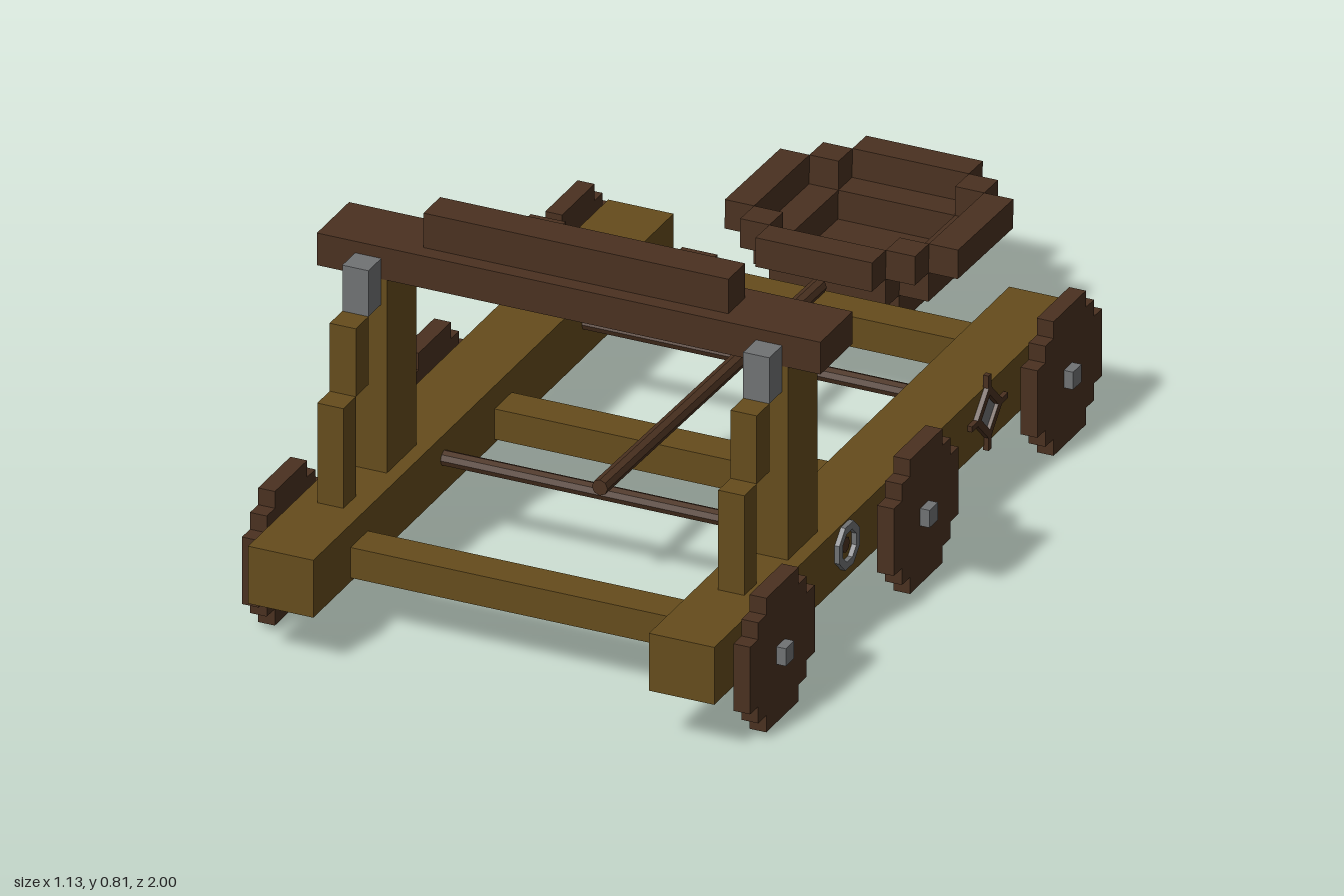
import * as THREE from 'three';

const mat = (color) => new THREE.MeshStandardMaterial({ color, flatShading: true });

export function createModel() {
  const model = new THREE.Group();
  const wood = mat(0x654c1c), dark = mat(0x4a3120), metal = mat(0x707274);

  const add = (name, geo, material, parent = model) => {
    const mesh = new THREE.Mesh(geo, material);
    mesh.name = name;
    parent.add(mesh);
    return mesh;
  };
  // Box given by its min and max on each axis
  const box = (name, material, [x0, x1], [y0, y1], [z0, z1]) => {
    const geo = new THREE.BoxGeometry(x1 - x0, y1 - y0, z1 - z0);
    return add(name, geo.translate((x0 + x1) / 2, (y0 + y1) / 2, (z0 + z1) / 2), material);
  };
  // The same box on both sides of the model
  const pair = (name, material, [x0, x1], y, z) => {
    box(name + 'Left', material, [x0, x1], y, z);
    box(name + 'Right', material, [-x1, -x0], y, z);
  };
  // Closed outline from one quadrant repeated four times around
  const outline = (quadrant, u) => {
    const pts = [];
    for (let q = 0; q < 4; q++) {
      for (const [a, b] of quadrant) {
        const p = [[a, b], [-b, a], [-a, -b], [b, -a]][q];
        pts.push(new THREE.Vector2(p[0] * u, p[1] * u));
      }
    }
    return pts;
  };
  const plate = (outer, inner, depth) => {
    const shape = new THREE.Shape(outer);
    if (inner) shape.holes.push(new THREE.Path(inner));
    return new THREE.ExtrudeGeometry(shape, { depth, bevelEnabled: false });
  };
  const polygon = (n, r, turn) => Array.from({ length: n }, (_, i) => {
    const a = turn + (i / n) * Math.PI * 2;
    return new THREE.Vector2(Math.cos(a) * r, Math.sin(a) * r);
  });

  const big = [[4, 2], [3, 2], [3, 3], [2, 3], [2, 4]];
  const medium = [[3, 2], [2, 2], [2, 3]];
  const small = [[2, 2]];

  // Frame: two rails and three cross beams
  pair('rail', wood, [0.36, 0.5], [0.115, 0.24], [-0.626, 1]);
  for (const z of [-0.507, 0.143, 0.793]) {
    box('crossBeam', wood, [-0.37, 0.37], [0.124, 0.19], [z - 0.039, z + 0.039]);
  }

  // Uprights with stepped braces in front
  pair('upright', wood, [0.39, 0.47], [0.24, 0.66], [0.47, 0.605]);
  pair('lowerBrace', wood, [0.402, 0.458], [0.24, 0.457], [0.72, 0.776]);
  pair('upperBrace', wood, [0.402, 0.458], [0.457, 0.605], [0.663, 0.72]);
  pair('braceBracket', metal, [0.402, 0.458], [0.605, 0.705], [0.605, 0.663]);

  // Top bar with the notched stop behind it
  box('topBar', dark, [-0.54, 0.54], [0.66, 0.73], [0.46, 0.605]);
  box('topBarCap', dark, [-0.327, 0.327], [0.73, 0.805], [0.497, 0.572]);
  pair('outerStop', dark, [0.125, 0.2], [0.66, 0.73], [0.355, 0.46]);
  pair('innerStop', dark, [0.045, 0.125], [0.66, 0.73], [0.43, 0.46]);

  // Six stepped wheels with square hubs
  const wheelGeo = plate(outline(big, 0.0365), null, 0.036).rotateY(Math.PI / 2);
  for (const z of [0.787, 0.138, -0.51]) {
    for (const side of [1, -1]) {
      add('wheel', wheelGeo, dark).position.set(side > 0 ? 0.509 : -0.545, 0.146, z);
      add('hub', new THREE.BoxGeometry(0.07, 0.038, 0.038), metal)
        .position.set(side * 0.53, 0.146, z + 0.008);
    }
  }

  // Winch rods through the rails
  for (const z of [0.41, -0.228]) {
    const rod = new THREE.CylinderGeometry(0.016, 0.016, 1.005, 8).rotateZ(Math.PI / 2);
    add('winchRod', rod, dark).position.set(0, 0.19, z);
  }

  // Metal rings on the rod ends
  const ring = (x, z, r) => {
    const geo = plate(polygon(8, r, Math.PI / 8), polygon(8, r * 0.66, Math.PI / 8), 0.013);
    add('rodRing', geo.rotateY(Math.PI / 2), metal).position.set(x, 0.19, z);
  };
  ring(0.497, 0.41, 0.05);
  ring(-0.51, 0.41, 0.05);
  ring(-0.51, -0.21, 0.065);

  // Spoked ratchet on the left side
  const ratchet = new THREE.Group();
  ratchet.name = 'ratchet';
  ratchet.position.set(0.497, 0.186, -0.224);
  model.add(ratchet);
  add('ratchetRing', plate(polygon(4, 0.06, 0), polygon(4, 0.038, 0), 0.013)
    .rotateY(Math.PI / 2), dark, ratchet);
  add('ratchetPlate', new THREE.BoxGeometry(0.012, 0.05, 0.05).rotateX(Math.PI / 4), metal, ratchet);
  for (let i = 0; i < 4; i++) {
    const spike = new THREE.BoxGeometry(0.012, 0.035, 0.012).translate(0.007, 0.064, 0);
    add('ratchetSpike', spike.rotateX(i * Math.PI / 2), dark, ratchet);
  }

  // Throwing arm and its bowl, both tipped slightly back
  const arm = new THREE.Group();
  arm.name = 'throwingArm';
  arm.rotation.x = -0.02;
  arm.position.set(0, 0.22, 0);
  model.add(arm);
  const beam = new THREE.CylinderGeometry(0.017, 0.017, 0.99, 8).rotateX(Math.PI / 2);
  add('armBeam', beam, dark, arm).position.z = -0.03;
  const band = new THREE.CylinderGeometry(0.019, 0.019, 0.08, 8).rotateX(Math.PI / 2);
  add('armBand', band, metal, arm).position.z = -0.33;

  const u = 0.0625;
  const bowl = new THREE.Group();
  bowl.name = 'bowl';
  bowl.position.set(0, -0.1, -0.75);
  arm.add(bowl);
  [['bowlFloor', small, null], ['bowlWall', medium, small], ['bowlRim', big, medium]]
    .forEach(([name, outer, inner], i) => {
      const geo = plate(outline(outer, u), inner && outline(inner, u), u).rotateX(-Math.PI / 2);
      add(name, geo, dark, bowl).position.y = i * u;
    });

  return model;
}
